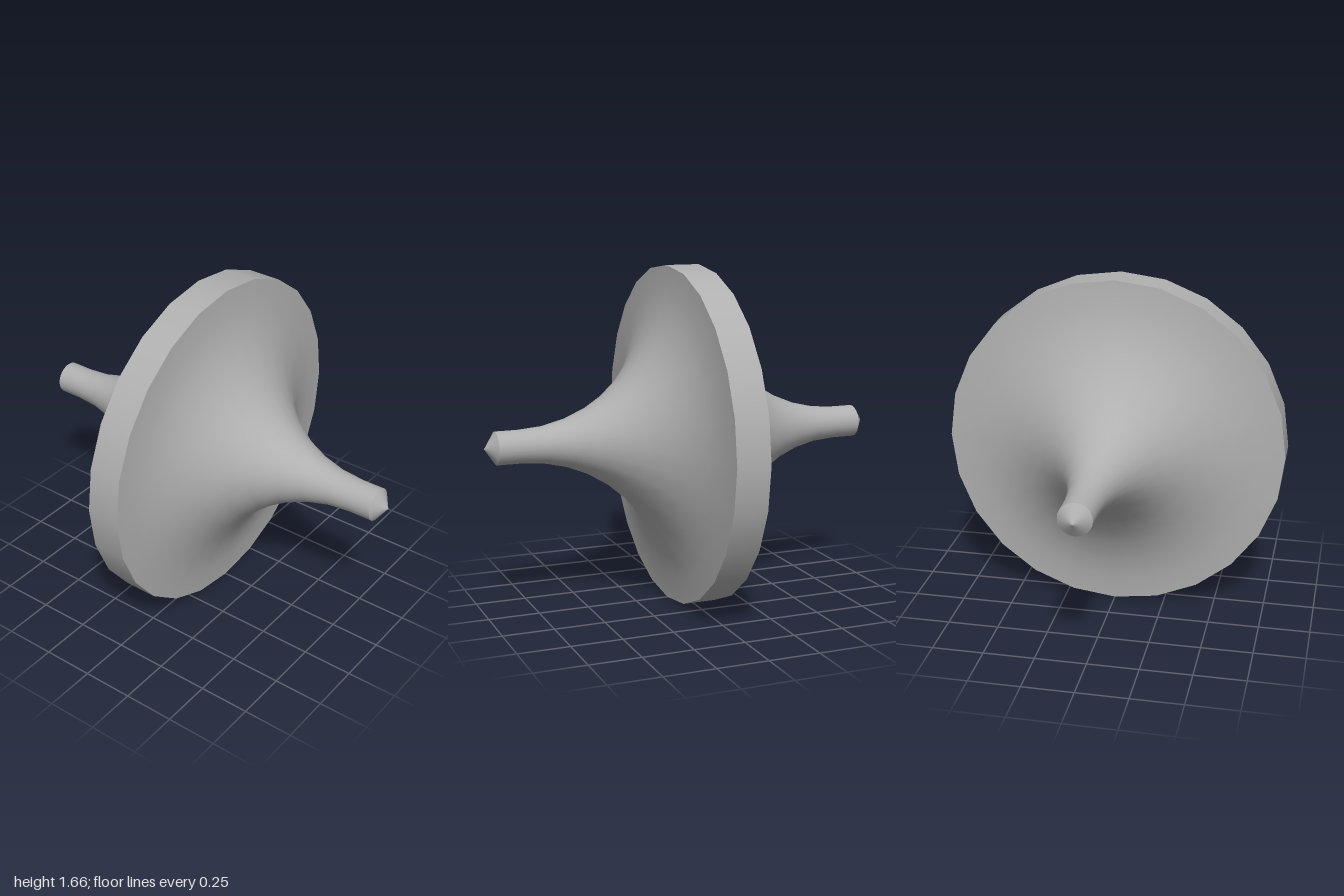
import * as THREE from 'three';

const R = 0.83;          // disc radius
const HALF = 0.083;      // half thickness of the rim
const SHAFT = 0.08;      // spindle radius
const SHAFT_END = 0.945; // where the pointed tip begins
const SEGMENTS = 24;

export function createModel() {
  const model = new THREE.Group();
  model.name = 'spinningTop';
  const grey = new THREE.MeshStandardMaterial({ color: 0xb0b0b0 });
  grey.name = 'grey';

  // Profiles are [radius, distance along the spindle], lathed and laid along z
  const lathe = (name, profile) => {
    const points = profile.map(([r, d]) => new THREE.Vector2(r, d));
    const geometry = new THREE.LatheGeometry(points, SEGMENTS);
    geometry.rotateX(Math.PI / 2);
    const mesh = new THREE.Mesh(geometry, grey);
    mesh.name = name;
    return mesh;
  };

  // Flat outer band
  model.add(lathe('rim', [[R, -HALF], [R, HALF]]));

  // Concave quarter-circle flare running from the rim into the spindle
  const arc = R - SHAFT;
  const flare = [];
  for (let i = 0; i <= 10; i++) {
    const a = (i / 10) * Math.PI / 2;
    flare.push([R - arc * Math.sin(a), HALF + arc * (1 - Math.cos(a))]);
  }
  flare.push([SHAFT, SHAFT_END]);

  // Matching flare and pointed tip on both sides
  for (const side of ['front', 'back']) {
    const half = new THREE.Group();
    half.name = side + 'Half';
    half.add(lathe(side + 'Flare', flare));
    half.add(lathe(side + 'Tip', [[SHAFT, SHAFT_END], [0, 1]]));
    if (side === 'back') half.rotation.y = Math.PI;
    model.add(half);
  }

  model.position.y = R;
  const root = new THREE.Group();
  root.name = 'model';
  root.add(model);
  return root;
}
